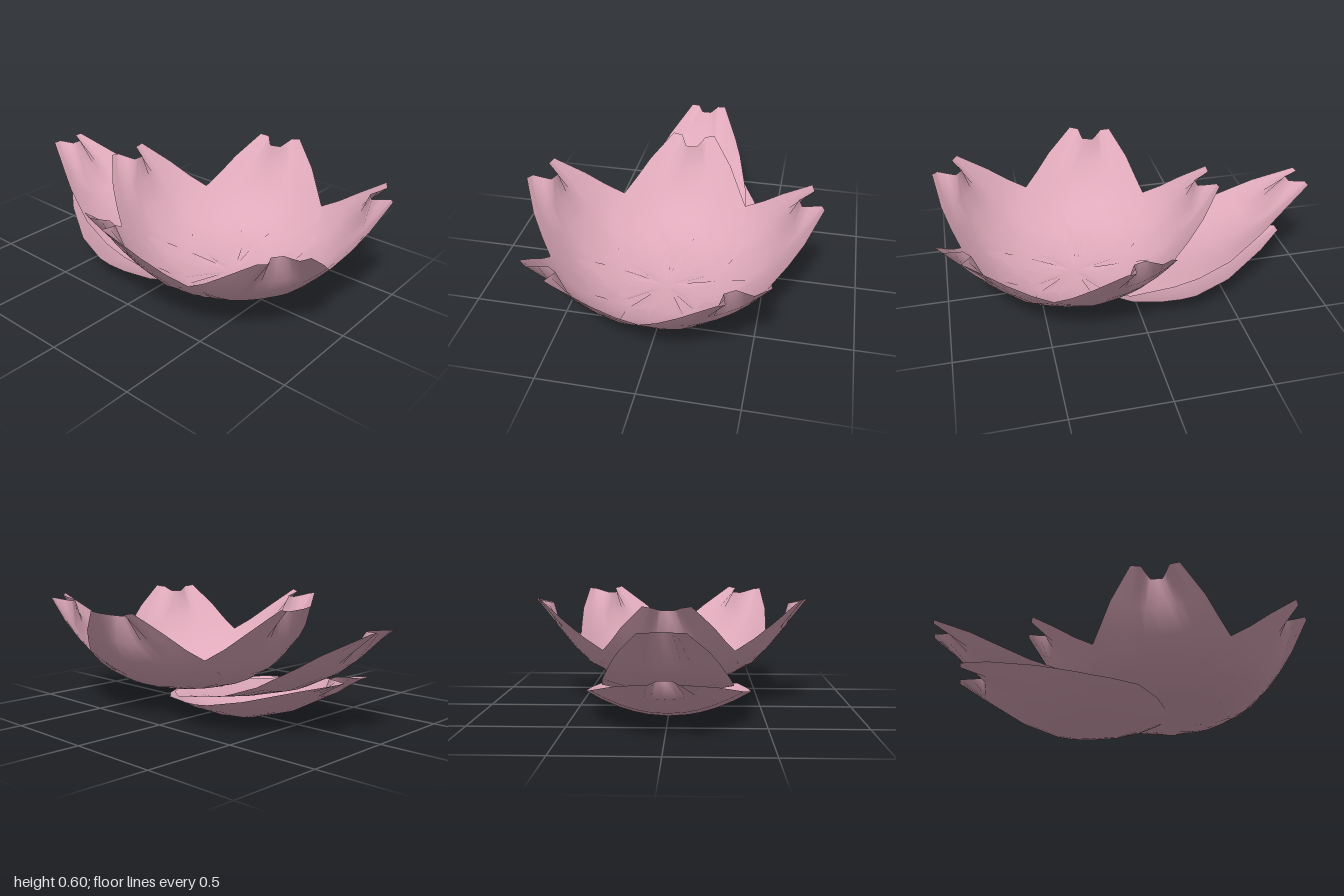
import * as THREE from 'three';

// Columns across a petal, as fractions of its half-width
const HALF = [0.25, 0.4, 0.58, 0.8, 1];
const COLS = [...HALF.map(u => -u).reverse(), 0, ...HALF];
const CENTRE_Z = 0.3;

// Piecewise-linear lookup
function lookup(points, x) {
  for (let i = 1; i < points.length; i++) {
    const [x0, y0] = points[i - 1], [x1, y1] = points[i];
    if (x <= x1) return y0 + (y1 - y0) * (x - x0) / (x1 - x0);
  }
  return points[points.length - 1][1];
}

// Petal sheet growing along -z. Rows are [distance, half-width, ...];
// the last row is cut back and curled up in the middle to make the notched tip.
function petalGeometry(rows, heightAt, notchDepth, notchHeight) {
  const pos = [], index = [], n = COLS.length;
  rows.forEach((row, i) => {
    const tip = i === rows.length - 1;
    for (const u of COLS) {
      const x = u * row[1];
      const cut = THREE.MathUtils.clamp((0.58 - Math.abs(u)) / 0.33, 0, 1);
      let a = row[0], y = heightAt(row, u);
      if (tip) {
        a -= cut * notchDepth;
        y += cut * (notchHeight - y);
      }
      pos.push(x, y, -a);
    }
  });
  for (let i = 0; i < rows.length - 1; i++) {
    for (let j = 0; j < n - 1; j++) {
      const p = i * n + j, q = p + n;
      index.push(p, p + 1, q + 1, p, q + 1, q);
    }
  }
  const g = new THREE.BufferGeometry();
  g.setAttribute('position', new THREE.Float32BufferAttribute(pos, 3));
  g.setIndex(index);
  g.computeVertexNormals();
  return g;
}

export function createModel() {
  const model = new THREE.Group();
  model.name = 'blossom';
  const pink = new THREE.MeshStandardMaterial({ color: 0xdfaabb, side: THREE.DoubleSide });
  pink.name = 'petal pink';

  // Five petals lying on a shared bowl
  const bowl = [[0, 0.1], [0.2, 0.105], [0.35, 0.14], [0.5, 0.23], [0.6, 0.345], [0.7, 0.48], [0.79, 0.6]];
  const outline = [[0, 0.02], [0.02, 0.06], [0.13, 0.28], [0.266, 0.366], [0.36, 0.373],
    [0.48, 0.35], [0.57, 0.295], [0.66, 0.235], [0.78, 0.12]];
  const bowlPetal = petalGeometry(outline, ([a, w], u) => lookup(bowl, Math.hypot(a, u * w)), 0.09, 0.57);
  const flower = new THREE.Group();
  flower.name = 'flower';
  flower.position.z = CENTRE_Z;
  for (let k = 0; k < 5; k++) {
    const petal = new THREE.Mesh(bowlPetal, pink);
    petal.name = 'petal' + (k + 1);
    petal.rotation.y = k * Math.PI * 2 / 5;
    flower.add(petal);
  }
  model.add(flower);

  // Two long trailing petals: [distance, half-width, centre height, edge height]
  const cupped = ([, , yc, ye], u) => yc + (ye - yc) * u * u;
  const addTrailing = (name, rows, notchDepth, notchHeight) => {
    const mesh = new THREE.Mesh(petalGeometry(rows, cupped, notchDepth, notchHeight), pink);
    mesh.name = name;
    mesh.position.z = CENTRE_Z;
    model.add(mesh);
  };
  addTrailing('upperTrailingPetal', [
    [0, 0.05, 0.1, 0.1], [0.13, 0.24, 0.1, 0.105], [0.25, 0.32, 0.102, 0.11], [0.48, 0.345, 0.12, 0.15],
    [0.62, 0.34, 0.14, 0.18], [0.8, 0.315, 0.185, 0.245], [1.0, 0.25, 0.28, 0.36],
    [1.1, 0.205, 0.35, 0.425], [1.3, 0.105, 0.535, 0.535],
  ], 0.08, 0.53);
  addTrailing('lowerTrailingPetal', [
    [0, 0.05, 0.1, 0.1], [0.13, 0.27, 0.06, 0.105], [0.25, 0.38, 0.025, 0.12], [0.4, 0.42, 0.003, 0.125],
    [0.5, 0.43, 0, 0.13], [0.58, 0.43, 0.008, 0.14], [0.77, 0.38, 0.065, 0.18],
    [1.0, 0.245, 0.185, 0.245], [1.14, 0.13, 0.28, 0.28],
  ], 0.12, 0.278);

  return model;
}
